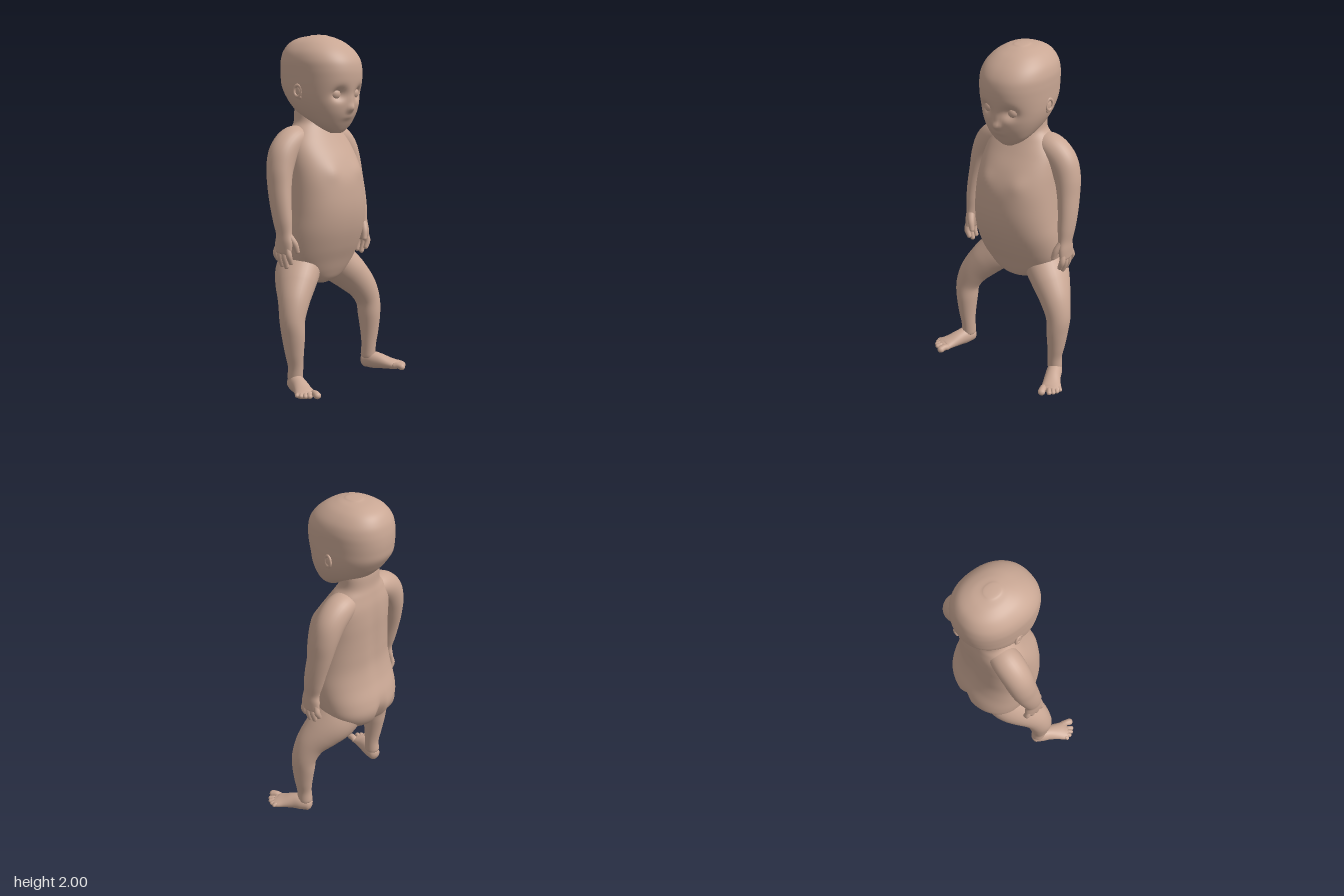
import * as THREE from 'three';

const skin = new THREE.MeshStandardMaterial({ color: 0xc9a794 });
const Z = new THREE.Vector3(0, 0, 1), Y = new THREE.Vector3(0, 1, 0);
const bell = (v, centre, width) => Math.exp(-(((v - centre) / width) ** 2));

// Smooth closed skin through rows of [x, y, z, sideRadius, frontRadius].
// level keeps every ring horizontal; otherwise rings follow the path.
function loft(name, rows, { ref = Z, seg = 24, steps = 6, cap = 1, power = 2, level = false, shape } = {}) {
  const path = new THREE.CatmullRomCurve3(rows.map(r => new THREE.Vector3(r[0], r[1], r[2])), false, 'catmullrom');
  const radii = new THREE.CatmullRomCurve3(rows.map(r => new THREE.Vector3(r[3], r[4], 0)), false, 'catmullrom');
  const n = (rows.length - 1) * steps, dome = 5, rings = [];
  for (let i = 0; i < dome; i++) rings.push([0, -1, (i / dome) * Math.PI / 2]);
  for (let i = 0; i <= n; i++) rings.push([i / n, 0, Math.PI / 2]);
  for (let i = dome - 1; i >= 0; i--) rings.push([1, 1, (i / dome) * Math.PI / 2]);

  const pos = [], idx = [];
  const curve = v => Math.sign(v) * Math.abs(v) ** (2 / power);
  for (const [t, end, a] of rings) {
    const c = path.getPoint(t), r = radii.getPoint(t);
    const T = level ? Y.clone() : path.getTangent(t);
    const fwd = ref.clone().addScaledVector(T, -ref.dot(T)).normalize();
    const side = T.clone().cross(fwd);
    c.addScaledVector(T, end * Math.cos(a) * Math.min(r.x, r.y) * cap);
    for (let j = 0; j < seg; j++) {
      const q = (j / seg) * Math.PI * 2;
      const p = c.clone()
        .addScaledVector(side, curve(Math.cos(q)) * r.x * Math.sin(a))
        .addScaledVector(fwd, curve(Math.sin(q)) * r.y * Math.sin(a));
      if (shape) shape(p);
      pos.push(p.x, p.y, p.z);
    }
  }
  for (let i = 0; i < rings.length - 1; i++) {
    for (let j = 0; j < seg; j++) {
      const a = i * seg + j, b = i * seg + (j + 1) % seg;
      idx.push(a, a + seg, b, b, a + seg, b + seg);
    }
  }
  const geo = new THREE.BufferGeometry();
  geo.setAttribute('position', new THREE.Float32BufferAttribute(pos, 3));
  geo.setIndex(idx);
  geo.computeVertexNormals();
  const mesh = new THREE.Mesh(geo, skin);
  mesh.name = name;
  return mesh;
}

// [height, halfWidth, frontZ, backZ] to a loft row
const slice = ([y, w, f, b]) => [0, y, (f + b) / 2, w, (f - b) / 2];

function ball(name, [x, y, z], [sx, sy, sz]) {
  const mesh = new THREE.Mesh(new THREE.SphereGeometry(1, 24, 16), skin);
  mesh.name = name;
  mesh.position.set(x, y, z);
  mesh.scale.set(sx, sy, sz);
  return mesh;
}

function makeTorso() {
  const rows = [
    [0.575, 0.05, -0.01, -0.13], [0.60, 0.13, 0.035, -0.20], [0.65, 0.205, 0.065, -0.25],
    [0.72, 0.25, 0.095, -0.277], [0.80, 0.264, 0.13, -0.268], [0.90, 0.265, 0.163, -0.236],
    [1.00, 0.256, 0.18, -0.217], [1.10, 0.248, 0.18, -0.216], [1.20, 0.24, 0.165, -0.218],
    [1.30, 0.232, 0.12, -0.22], [1.39, 0.215, 0.06, -0.215], [1.46, 0.17, 0.015, -0.202],
    [1.51, 0.132, -0.01, -0.192], [1.58, 0.125, -0.02, -0.19], [1.64, 0.11, -0.04, -0.18],
  ];
  return loft('torso', rows.map(slice), {
    seg: 72, cap: 0.15, power: 2.25, level: true,
    shape: p => {
      const x = Math.abs(p.x);
      if (p.z < -0.08) p.z += 0.035 * bell(x, 0, 0.028) * bell(p.y, 0.67, 0.08); // buttock cleft
      if (p.z > 0) p.z += 0.01 * bell(x, 0.11, 0.05) * bell(p.y, 1.24, 0.05); // chest
      if (p.z < -0.1) p.z += 0.012 * bell(x, 0, 0.04) * bell(p.y, 1.15, 0.25); // spine
    },
  });
}

function makeHead() {
  const rows = [
    [1.452, 0.04, 0.10, 0.04], [1.475, 0.082, 0.118, 0.0], [1.51, 0.12, 0.14, -0.06],
    [1.56, 0.153, 0.166, -0.16], [1.61, 0.176, 0.178, -0.215], [1.66, 0.19, 0.184, -0.252],
    [1.71, 0.196, 0.194, -0.28], [1.76, 0.198, 0.20, -0.288], [1.81, 0.199, 0.199, -0.29],
    [1.86, 0.196, 0.185, -0.285], [1.91, 0.178, 0.148, -0.27], [1.955, 0.138, 0.09, -0.236],
    [1.982, 0.09, 0.03, -0.18], [1.994, 0.045, -0.01, -0.115],
  ];
  return loft('head', rows.map(slice), {
    seg: 96, cap: 0.13, power: 2.25, level: true,
    shape: p => {
      if (p.z < 0.05) return;
      const x = Math.abs(p.x);
      p.z += -0.036 * bell(x, 0.078, 0.036) * bell(p.y, 1.675, 0.034) // eye sockets
        + 0.026 * bell(x, 0, 0.022) * bell(p.y, 1.592, 0.024) // nose tip
        + 0.010 * bell(x, 0, 0.018) * bell(p.y, 1.635, 0.035) // nose bridge
        + 0.006 * bell(x, 0, 0.035) * bell(p.y, 1.542, 0.014); // lips
    },
  });
}

function makeArm(s) {
  const arm = new THREE.Group();
  arm.name = s > 0 ? 'leftArm' : 'rightArm';
  const flip = rows => rows.map(([x, ...rest]) => [s * x, ...rest]);
  // shoulder to palm
  arm.add(loft('armAndPalm', flip([
    [0.10, 1.425, -0.105, 0.065, 0.075], [0.18, 1.405, -0.105, 0.082, 0.085], [0.25, 1.345, -0.102, 0.086, 0.084],
    [0.29, 1.26, -0.095, 0.074, 0.08], [0.31, 1.16, -0.08, 0.061, 0.074], [0.322, 1.06, -0.06, 0.053, 0.067],
    [0.326, 0.97, -0.042, 0.046, 0.06], [0.328, 0.90, -0.03, 0.036, 0.052], [0.333, 0.85, -0.027, 0.031, 0.06],
    [0.338, 0.80, -0.03, 0.024, 0.062],
  ]), { seg: 32, cap: 0.8 }));
  // fingers curl slightly inward
  [[0.021, 0.735], [-0.013, 0.708], [-0.047, 0.715], [-0.081, 0.748]].forEach(([z, tip], i) => {
    arm.add(loft('finger' + (i + 1), flip([
      [0.337, 0.825, z * 0.75 - 0.008, 0.018, 0.018], [0.342, (0.825 + tip) / 2, z, 0.017, 0.017],
      [0.327, tip + 0.005, z, 0.014, 0.014],
    ]), { seg: 14 }));
  });
  arm.add(loft('thumb', flip([
    [0.325, 0.89, 0.0, 0.022, 0.024], [0.305, 0.845, 0.027, 0.019, 0.021], [0.292, 0.80, 0.038, 0.014, 0.015],
  ]), { seg: 14 }));
  return arm;
}

function makeLeg(s) {
  const leg = new THREE.Group();
  leg.name = s > 0 ? 'leftLeg' : 'rightLeg';
  const flip = rows => rows.map(([x, ...rest]) => [s * x, ...rest]);
  // hip to ankle
  leg.add(loft('thighAndShin', flip([
    [0.12, 0.72, -0.10, 0.11, 0.13], [0.175, 0.655, -0.07, 0.115, 0.135], [0.235, 0.59, -0.03, 0.105, 0.12],
    [0.295, 0.51, 0.012, 0.088, 0.092], [0.331, 0.42, 0.034, 0.071, 0.076], [0.333, 0.33, 0.043, 0.062, 0.071],
    [0.330, 0.23, 0.048, 0.051, 0.057], [0.323, 0.15, 0.05, 0.042, 0.046], [0.322, 0.08, 0.046, 0.042, 0.046],
  ]), { seg: 32, cap: 0.6 }));
  // heel to ball of foot
  leg.add(loft('foot', flip([
    [0.318, 0.046, 0.026, 0.037, 0.043], [0.333, 0.052, 0.065, 0.045, 0.052], [0.352, 0.048, 0.11, 0.047, 0.046],
    [0.378, 0.038, 0.16, 0.053, 0.034], [0.398, 0.032, 0.195, 0.06, 0.026], [0.405, 0.031, 0.212, 0.055, 0.02],
  ]), { ref: Y, seg: 32, cap: 0.7 }));
  // toes fan outward: base x, z, tip x, z, radius
  [[0.362, 0.222, 0.376, 0.264, 0.022], [0.392, 0.210, 0.417, 0.246, 0.0145], [0.408, 0.200, 0.435, 0.229, 0.0135],
    [0.420, 0.188, 0.447, 0.207, 0.013], [0.430, 0.172, 0.453, 0.183, 0.0125]].forEach(([bx, bz, tx, tz, r], i) => {
    leg.add(loft('toe' + (i + 1), flip([
      [bx, 0.034, bz, r * 0.95, r * 0.85], [(bx + tx) / 2, 0.038, (bz + tz) / 2, r * 0.9, r * 0.85],
      [tx, 0.033, tz, r, r * 0.9],
    ]), { ref: Y, seg: 14 }));
  });
  return leg;
}

function makeEar(s) {
  const ear = new THREE.Group();
  ear.name = s > 0 ? 'leftEar' : 'rightEar';
  const rim = new THREE.Mesh(new THREE.TorusGeometry(0.023, 0.0075, 10, 28), skin);
  rim.name = 'earRim';
  rim.rotation.y = s * (Math.PI / 2 - 0.25);
  rim.scale.y = 1.35;
  rim.position.set(s * 0.196, 1.69, -0.045);
  ear.add(rim, ball('earBowl', [s * 0.191, 1.685, -0.045], [0.009, 0.03, 0.022]),
    ball('earLobe', [s * 0.188, 1.658, -0.036], [0.011, 0.015, 0.013]));
  return ear;
}

export function createModel() {
  const model = new THREE.Group();
  model.name = 'infantFigure';
  model.add(makeTorso(), makeHead());
  for (const s of [1, -1]) {
    const side = s > 0 ? 'left' : 'right';
    model.add(makeArm(s), makeLeg(s), makeEar(s));
    model.add(ball(side + 'Eye', [s * 0.078, 1.675, 0.122], [0.036, 0.036, 0.036]));
  }
  return model;
}
